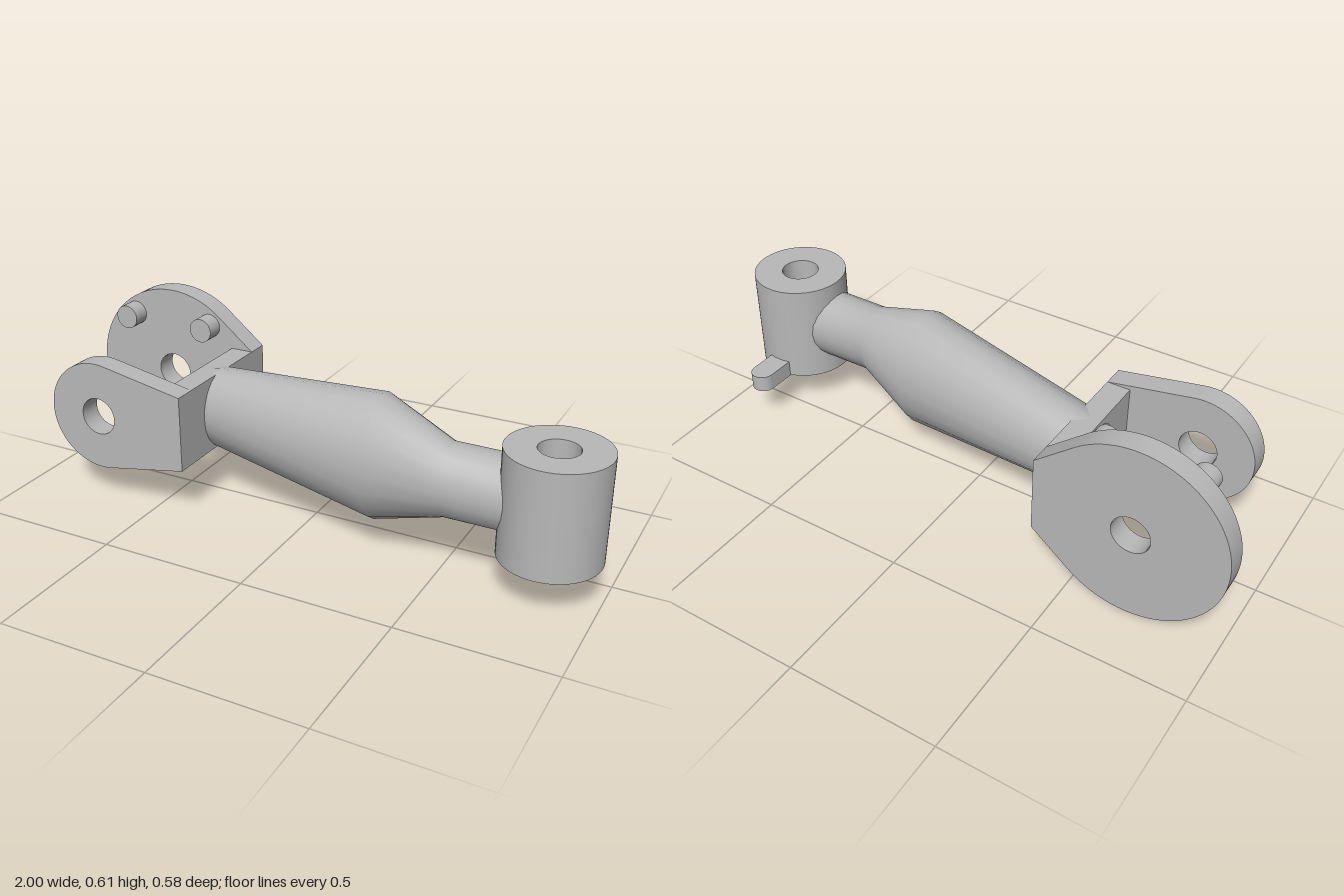
import * as THREE from 'three';
import { mergeVertices, toCreasedNormals } from 'three/addons/utils/BufferGeometryUtils.js';

const CX = -0.695, CY = 0.308;           // fork hole axis
const WEB_X = -0.37, WEB_H = 0.13;       // outer face and half height of the fork web
const HX = 0.835, HZ = 0.125;            // hub axis

export function createModel() {
  const group = new THREE.Group();
  const metal = new THREE.MeshStandardMaterial({ color: 0xb8b8b8 });
  metal.name = 'grey metal';

  const add = (name, geometry) => {
    const mesh = new THREE.Mesh(geometry, metal);
    mesh.name = name;
    group.add(mesh);
    return mesh;
  };
  const extrude = (shape, depth) => toCreasedNormals(
    new THREE.ExtrudeGeometry(shape, { depth, bevelEnabled: false, curveSegments: 40 }), 0.5);
  const hole = (x, y, r) => new THREE.Path().absarc(x, y, r, 0, Math.PI * 2, true);

  // Fork plates: a round eye joined to the web by tangent lines
  const forkPlate = (name, r, z, depth) => {
    const dx = WEB_X - CX;
    const a = Math.atan2(WEB_H, dx) + Math.acos(r / Math.hypot(dx, WEB_H));
    const shape = new THREE.Shape();
    shape.moveTo(WEB_X, CY - WEB_H);
    shape.lineTo(WEB_X, CY + WEB_H);
    shape.absarc(CX, CY, r, a, Math.PI * 2 - a, false);
    shape.closePath();
    shape.holes.push(hole(CX, CY, 0.064));
    add(name, extrude(shape, depth)).position.z = z;
  };
  forkPlate('backForkPlate', 0.306, -0.291, 0.076);
  forkPlate('frontForkPlate', 0.187, 0.168, 0.076);

  // Web joining the two plates
  add('forkWeb', new THREE.BoxGeometry(0.08, WEB_H * 2, 0.383))
    .position.set(WEB_X - 0.04, CY, -0.0235);

  // Two pins on the inside of the back plate
  for (const side of [-1, 1]) {
    const pin = add('pin', new THREE.CylinderGeometry(0.042, 0.042, 0.07, 28));
    pin.rotation.x = Math.PI / 2;
    pin.position.set(CX + side * 0.155, 0.507, -0.189);
  }

  // Arm: elliptical sections [x, centre z, half height, half width]
  const rings = [
    [-0.497, -0.035, 0.0, 0.0],
    [-0.487, -0.034, 0.055, 0.047],
    [-0.467, -0.032, 0.098, 0.084],
    [-0.435, -0.028, 0.126, 0.108],
    [-0.37, -0.02, 0.139, 0.12],
    [0.265, 0.077, 0.21, 0.156],
    [0.51, 0.125, 0.121, 0.1],
    [0.74, 0.125, 0.119, 0.106],
  ];
  let arm = new THREE.CylinderGeometry(1, 1, rings.length - 1, 20, rings.length - 1, true);
  arm.rotateZ(-Math.PI / 2);
  const p = arm.attributes.position;
  for (let i = 0; i < p.count; i++) {
    const [x, cz, ry, rz] = rings[Math.round(p.getX(i) + (rings.length - 1) / 2)];
    p.setXYZ(i, x, CY + p.getY(i) * ry, cz + p.getZ(i) * rz);
  }
  arm.deleteAttribute('normal');
  arm.deleteAttribute('uv');
  arm = mergeVertices(arm, 1e-5);
  arm.computeVertexNormals();
  add('arm', arm);

  // Upright hub with a through hole
  const hubShape = new THREE.Shape().absarc(HX, -HZ, 0.16, 0, Math.PI * 2, false);
  hubShape.holes.push(hole(HX, -HZ, 0.063));
  add('hub', extrude(hubShape, 0.348).rotateX(-Math.PI / 2)).position.y = 0.134;

  // Round-ended tab at the foot of the hub
  const tabShape = new THREE.Shape();
  tabShape.moveTo(HX - 0.041, -0.05);
  tabShape.lineTo(HX + 0.041, -0.05);
  tabShape.absarc(HX, 0.123, 0.041, 0, Math.PI, false);
  tabShape.closePath();
  add('tab', extrude(tabShape, 0.059).rotateX(-Math.PI / 2)).position.y = 0.131;

  return group;
}
